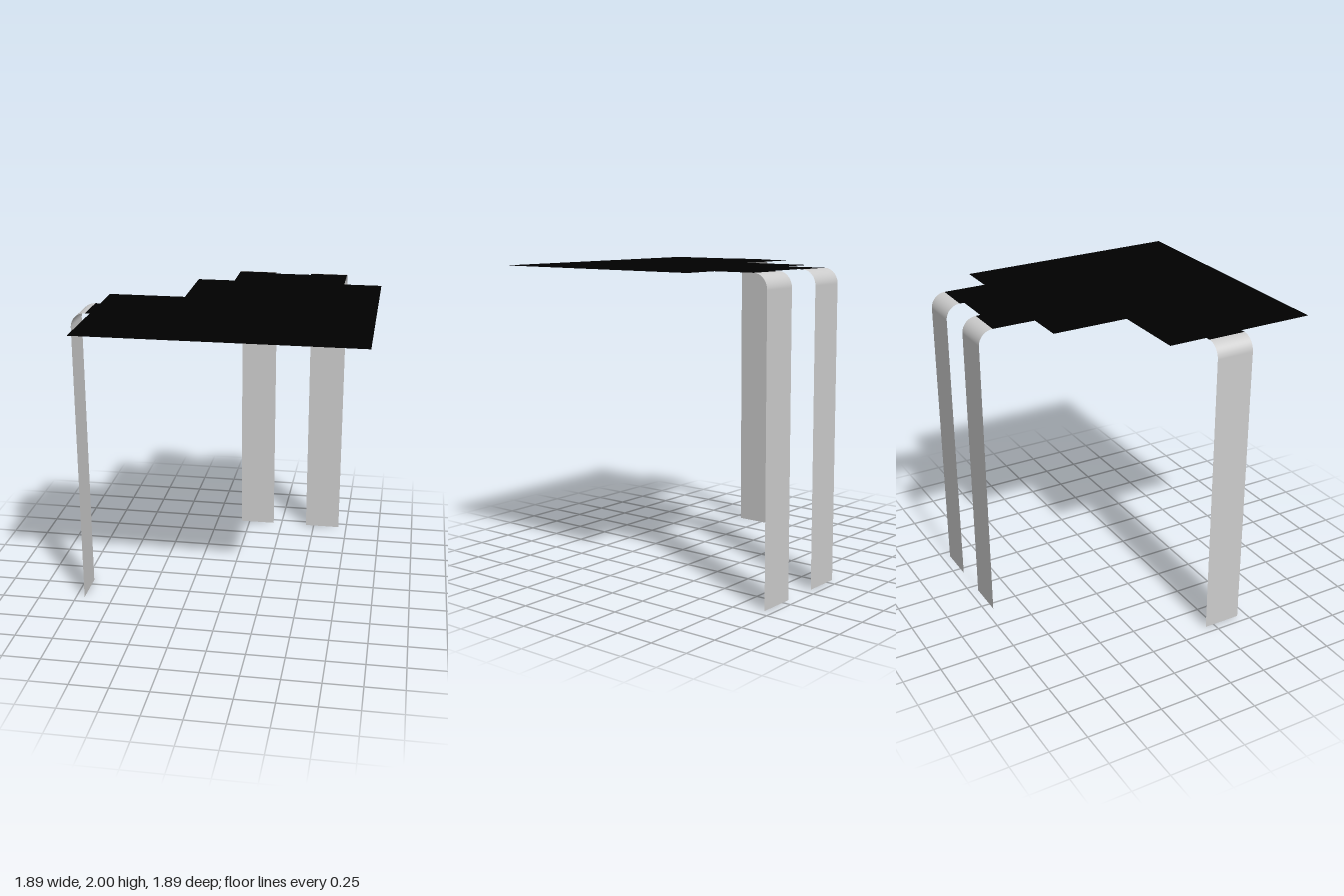
import * as THREE from 'three';

const STEP = 0.2514;   // side of one grid cell of the top
const EDGE = 0.943;    // outer limit of the model
const HEIGHT = 2;
const BEND = 0.095;    // radius of the bend at the top of a leg

// Position of a grid line, counted inwards from the +x or +z edge
const line = (n) => EDGE - n * STEP;

// Thin strip that bends from the top down to the ground, facing +z
function legGeometry() {
  const segments = 12;
  const geometry = new THREE.PlaneGeometry(STEP, 1, 1, segments + 1);
  const position = geometry.attributes.position;
  for (let i = 0; i < position.count; i++) {
    const row = Math.floor(i / 2);
    if (row > segments) {
      position.setY(i, 0);
      position.setZ(i, 0);
    } else {
      const a = (row / segments) * Math.PI / 2;
      position.setY(i, HEIGHT - BEND + BEND * Math.cos(a));
      position.setZ(i, -BEND + BEND * Math.sin(a));
    }
  }
  geometry.computeVertexNormals();
  return geometry;
}

export function createModel() {
  const group = new THREE.Group();
  const black = new THREE.MeshStandardMaterial({ color: 0x000000, side: THREE.DoubleSide });
  black.name = 'black';
  const grey = new THREE.MeshStandardMaterial({ color: 0xcccccc, side: THREE.DoubleSide });
  grey.name = 'light grey';

  // Stepped flat top, with short tabs that meet the legs
  const tab = -EDGE + BEND;
  const outline = [
    [line(0), line(0)], [line(0), line(6)],
    [line(1), line(6)], [line(1), tab], [line(2), tab], [line(2), line(7)],
    [line(3), line(7)], [line(3), tab], [line(4), tab], [line(4), line(6)],
    [line(5), line(6)], [line(5), line(4)], [line(7), line(4)],
    [line(7), line(3)], [tab, line(3)], [tab, line(2)], [line(7), line(2)],
    [line(7), line(0)],
  ].map(([x, z]) => new THREE.Vector2(x, -z));
  const top = new THREE.Mesh(new THREE.ShapeGeometry(new THREE.Shape(outline)), black);
  top.name = 'steppedTop';
  top.rotation.x = -Math.PI / 2;
  top.position.y = HEIGHT;
  group.add(top);

  // Three bent strip legs: two at the back, one at the right side
  const strip = legGeometry();
  const legs = [
    ['backLeftLeg', line(1.5), -EDGE, Math.PI],
    ['backRightLeg', line(3.5), -EDGE, Math.PI],
    ['rightSideLeg', -EDGE, line(2.5), -Math.PI / 2],
  ];
  for (const [name, x, z, turn] of legs) {
    const leg = new THREE.Mesh(strip, grey);
    leg.name = name;
    leg.position.set(x, 0, z);
    leg.rotation.y = turn;
    group.add(leg);
  }
  return group;
}
